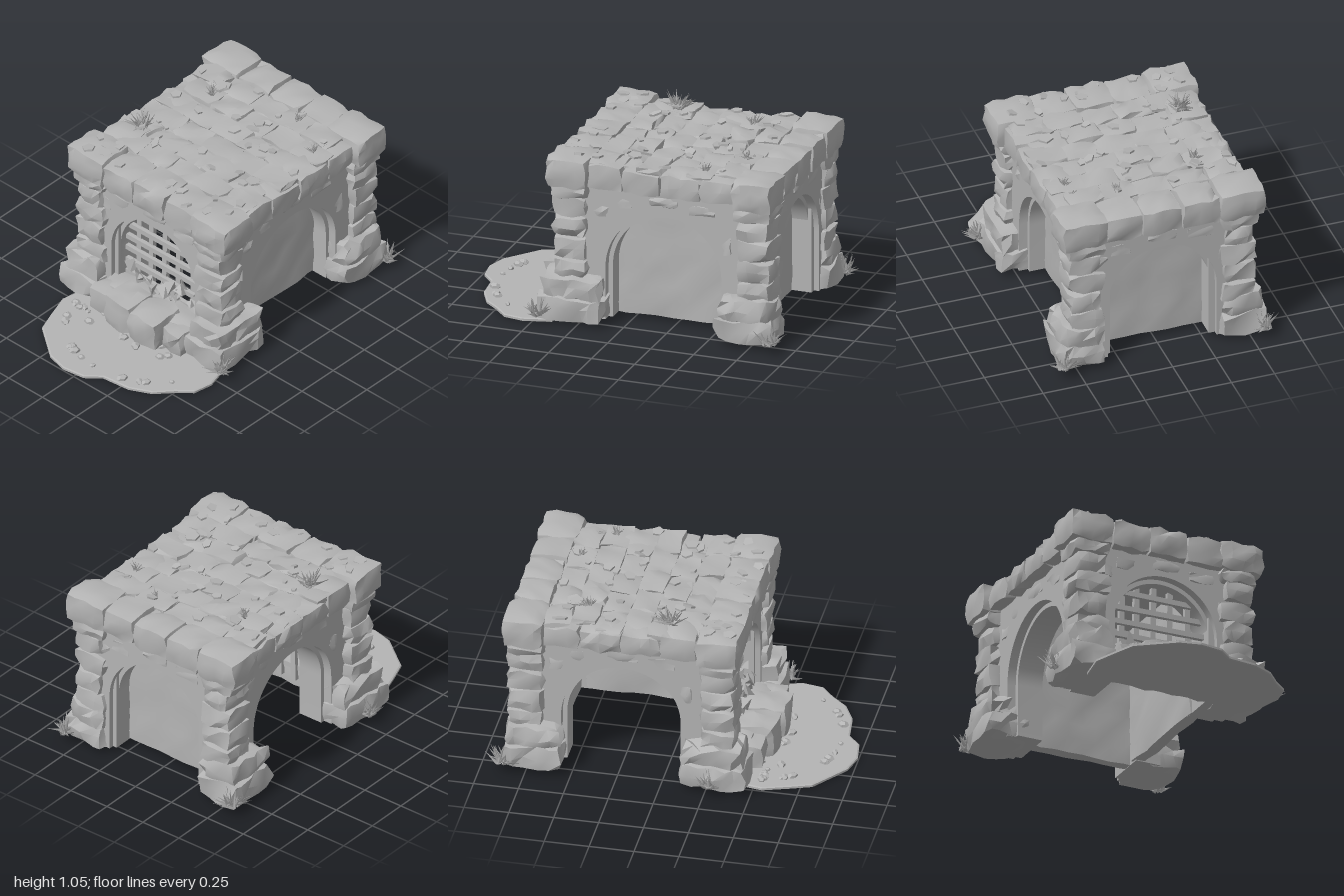
import * as THREE from 'three';
import { toCreasedNormals, mergeGeometries } from 'three/addons/utils/BufferGeometryUtils.js';

const stone = new THREE.MeshStandardMaterial({ color: 0xb4b4b4, side: THREE.DoubleSide });
stone.name = 'stone grey';

let seed = 7;
const rnd = () => ((seed = (seed * 16807) % 2147483647) / 2147483647);
const span = (a, b) => a + (b - a) * rnd();
const hash = (x, y, z, k) => {
  const s = Math.sin(Math.round(x * 500) * 12.99 + Math.round(y * 500) * 78.23 + Math.round(z * 500) * 37.72 + k * 9.1) * 43758.5;
  return s - Math.floor(s) - 0.5;
};

// A worn stone block: subdivided box, rounded edges, jittered surface
function rock(x0, x1, y0, y1, z0, z1, rough = 0.018, round = 0.03) {
  const size = [x1 - x0, y1 - y0, z1 - z0];
  const seg = size.map((s) => Math.max(2, Math.min(8, Math.round(s / 0.065))));
  const g = new THREE.BoxGeometry(...size, ...seg);
  const p = g.attributes.position;
  const half = size.map((s) => s / 2), r = Math.min(round, ...half);
  const k = Math.floor(rnd() * 100);
  for (let i = 0; i < p.count; i++) {
    const v = new THREE.Vector3().fromBufferAttribute(p, i);
    const a = hash(v.x, v.y, v.z, k), b = hash(v.x, v.y, v.z, k + 1), c = hash(v.x, v.y, v.z, k + 2);
    const core = new THREE.Vector3(...v.toArray().map((n, j) => THREE.MathUtils.clamp(n, r - half[j], half[j] - r)));
    v.sub(core).normalize().multiplyScalar(r).add(core);
    p.setXYZ(i, v.x + a * rough, v.y + b * rough, v.z + c * rough);
  }
  g.deleteAttribute('uv');
  g.translate((x0 + x1) / 2, (y0 + y1) / 2, (z0 + z1) / 2);
  return toCreasedNormals(g, 0.65);
}

// Wall slab with an arched doorway, extruded towards +z
function archWall(half, top, r, spring, depth) {
  const s = new THREE.Shape();
  s.moveTo(-half, 0.03).lineTo(-r, 0.03).lineTo(-r, spring);
  s.absarc(0, spring, r, Math.PI, 0, true);
  s.lineTo(r, 0.03).lineTo(half, 0.03).lineTo(half, top).lineTo(-half, top);
  return toCreasedNormals(new THREE.ExtrudeGeometry(s, { depth, bevelEnabled: false, curveSegments: 20 }), 0.6);
}

// Tuft of thin blades fanning out from one point
function tuft(x, y, z, size, count, lean = 1.3) {
  const blades = [];
  for (let i = 0; i < count; i++) {
    const h = size * span(0.55, 1);
    const g = new THREE.ConeGeometry(size * 0.09, h, 3).translate(0, h / 2, 0);
    g.rotateZ(span(0.15, lean)).rotateY(rnd() * Math.PI * 2);
    blades.push(g.translate(x + span(-0.2, 0.2) * size, y, z + span(-0.2, 0.2) * size));
  }
  return mergeGeometries(blades);
}

export function createModel() {
  const model = new THREE.Group();
  model.name = 'ruinedGatehouse';
  const add = (name, g) => {
    const m = new THREE.Mesh(g, stone);
    m.name = name;
    model.add(m);
    return m;
  };
  const addBox = (name, x0, x1, y0, y1, z0, z1) =>
    add(name, new THREE.BoxGeometry(x1 - x0, y1 - y0, z1 - z0).translate((x0 + x1) / 2, (y0 + y1) / 2, (z0 + z1) / 2));

  // Four arched walls: a wide outer rim over a narrower inner arch
  const sides = [
    { name: 'frontWall', half: 0.47, r: 0.29, spring: 0.375, turn: 0, x: 0.01, z: 0.37 },
    { name: 'backWall', half: 0.47, r: 0.29, spring: 0.375, turn: Math.PI, x: 0, z: -0.83, filled: true },
    { name: 'leftWall', half: 0.59, r: 0.315, spring: 0.335, turn: Math.PI / 2, x: 0.49, z: -0.23, filled: true },
    { name: 'rightWall', half: 0.59, r: 0.315, spring: 0.335, turn: -Math.PI / 2, x: -0.48, z: -0.23 },
  ];
  for (const s of sides) {
    const wall = new THREE.Group();
    wall.name = s.name;
    const rim = new THREE.Mesh(archWall(s.half, 0.86, s.r + 0.025, s.spring, 0.05).translate(0, 0, -0.05), stone);
    const inner = new THREE.Mesh(archWall(s.half - 0.02, 0.86, s.r, s.spring, 0.15).translate(0, 0, -0.2), stone);
    rim.name = 'archRim';
    inner.name = 'innerArch';
    wall.add(rim, inner);
    if (s.filled) {
      const panel = new THREE.Mesh(rock(-s.r - 0.05, s.r + 0.05, 0.03, 0.75, -0.21, -0.14, 0.014, 0.01), stone);
      panel.name = 'archPanel';
      wall.add(panel);
    }
    // facing stones beside and above the arch
    for (const [x, y, w, h] of [[-0.36, 0.66, 0.1, 0.08], [0.36, 0.55, 0.07, 0.12], [-0.24, 0.72, 0.12, 0.07], [0.22, 0.73, 0.16, 0.07], [0, 0.755, 0.18, 0.07]]) {
      const chip = new THREE.Mesh(rock(x - w / 2, x + w / 2, y - h / 2, y + h / 2, -0.03, 0.008, 0.014, 0.02), stone);
      chip.name = 'facingStone';
      wall.add(chip);
    }
    wall.rotation.y = s.turn;
    wall.position.set(s.x, 0, s.z);
    model.add(wall);
  }

  // Corner piers: broad base stones, stacked shaft, flared neck and cap
  for (const sx of [-1, 1]) for (const front of [true, false]) {
    const place = (name, xi, xo, y0, y1, zi, zo, rough) =>
      add(name, rock(Math.min(sx * xi, sx * xo), Math.max(sx * xi, sx * xo), y0, y1, Math.min(zi, zo), Math.max(zi, zo), rough, 0.035));
    const z = (f, b) => (front ? f : b);
    place('pierBase', 0.33, 0.6, 0.025, 0.17, z(0.1, -0.55), z(0.48, -0.885), 0.03);
    place('pierBase', 0.34, 0.58, 0.14, 0.28, z(0.11, -0.56), z(0.46, -0.875), 0.035);
    [[0.25, 0.37], [0.36, 0.5], [0.49, 0.62], [0.61, 0.74]].forEach(([y0, y1], i) =>
      place('pierShaft', i % 2 ? 0.35 : 0.33, span(0.53, 0.55), y0, y1, z(0.21, -0.66), z(0.41, -0.865), 0.025));
    place('pierNeck', 0.33, 0.56, 0.72, 0.82, z(0.2, -0.65), z(0.42, -0.87), 0.02);
    place('cornerCap', 0.32, 0.592, 0.79, 0.968, z(0.19, -0.645), z(0.435, -0.885), 0.016);
  }

  // Cornice blocks between the caps
  for (const [z0, z1] of [[0.2, 0.425], [-0.875, -0.66]])
    [[-0.33, -0.1], [-0.11, 0.13], [0.12, 0.34]].forEach(([x0, x1]) =>
      add('cornice', rock(x0, x1, 0.79, span(0.945, 0.965), z0, z1)));
  for (const [x0, x1] of [[-0.555, -0.34], [0.34, 0.555]])
    [[-0.66, -0.45], [-0.46, -0.22], [-0.23, 0], [-0.01, 0.2]].forEach(([z0, z1]) =>
      add('cornice', rock(x0, x1, 0.8, span(0.93, 0.955), z0, z1)));

  // Roof deck and its uneven paving
  addBox('roofDeck', -0.48, 0.48, 0.84, 0.92, -0.8, 0.36);
  for (let i = 0; i < 5; i++) for (let j = 0; j < 6; j++) {
    const x = -0.4 + i * 0.2 + (j % 2 ? 0.03 : -0.03), z = -0.59 + j * 0.145, t = span(0.935, 0.958);
    add('roofPaving', rock(x - 0.105, x + 0.105, 0.9, t, z - 0.075, z + 0.075, 0.022, 0.015));
  }

  // Thin broken slabs lying on the roof
  for (let i = 0; i < 46; i++) {
    const g = new THREE.CylinderGeometry(1, 1, 0.012, 5).toNonIndexed();
    g.scale(span(0.015, 0.045), 1, span(0.015, 0.04));
    g.rotateX(span(-0.3, 0.3)).rotateY(rnd() * 6).rotateZ(span(-0.25, 0.25));
    g.translate(span(-0.5, 0.5), span(0.955, 0.972), i < 32 ? span(-0.65, 0.2) : span(0.22, 0.4));
    g.computeVertexNormals();
    add('roofShard', g);
  }

  // Crossed bars of the gate
  const gate = new THREE.Group();
  gate.name = 'gate';
  const bar = (x, y, w, h, z, tilt) => {
    const m = new THREE.Mesh(new THREE.BoxGeometry(w, h, 0.025), stone);
    m.name = 'gateBar';
    m.position.set(x, y, z);
    m.rotation.z = tilt;
    gate.add(m);
  };
  const reach = (d) => Math.sqrt(0.3 * 0.3 - d * d);
  for (const x of [-0.2, -0.11, -0.01, 0.09, 0.2]) {
    const top = 0.375 + reach(x - 0.01);
    bar(x, (top + 0.1) / 2, 0.032, top - 0.1, 0.25, span(-0.03, 0.03));
  }
  for (const y of [0.17, 0.255, 0.34, 0.42, 0.505, 0.595])
    bar(0.01, y, 2 * reach(Math.max(0, y - 0.375)), 0.03, 0.27, span(-0.03, 0.03));
  model.add(gate);

  // Rubble heaped against the gate
  for (let i = 0; i < 26; i++) {
    const g = new THREE.TetrahedronGeometry(span(0.025, 0.055));
    g.scale(1, 1.3, 0.6).rotateY(rnd() * 6).rotateZ(rnd() * 6);
    const x = span(-0.25, 0.27);
    g.translate(x, 0.2 + rnd() * (0.04 + Math.abs(x) * 0.6), span(0.29, 0.36));
    add('gateRubble', g);
  }

  // Threshold blocks in front of the gate
  add('threshold', rock(-0.32, 0.34, 0.025, 0.18, 0.28, 0.46, 0.02));
  [[-0.34, -0.18, 0.175, 0.53], [-0.2, 0.01, 0.215, 0.565], [0, 0.21, 0.215, 0.585], [0.2, 0.345, 0.18, 0.53]].forEach(([x0, x1, y, z]) => {
    add('stepBlock', rock(x0, x1, 0.015, y, 0.34, z, 0.022, 0.04));
  });

  // Flat rounded ground slab
  const outline = [[-0.46, 0.38], [-0.49, 0.55], [-0.44, 0.7], [-0.4, 0.81], [-0.28, 0.9], [-0.2, 0.96], [-0.08, 0.99], [0.05, 0.97],
    [0.13, 0.9], [0.3, 0.88], [0.42, 0.82], [0.5, 0.73], [0.58, 0.66], [0.6, 0.55], [0.56, 0.4], [0.3, 0.36], [-0.3, 0.36]];
  const slab = new THREE.Shape(outline.map(([x, z]) => new THREE.Vector2(x, -z)));
  slab.closePath();
  add('groundSlab', new THREE.ExtrudeGeometry(slab, { depth: 0.012, bevelThickness: 0.004, bevelSize: 0.008, bevelSegments: 1 })
    .rotateX(-Math.PI / 2).translate(0, 0.004, 0));

  // Loose pebbles along the slab and at the foot of the steps
  for (let i = 0; i < 30; i++) {
    const edge = i < 14, a = span(0.2, Math.PI - 0.2);
    const x = edge ? 0.05 + Math.cos(a) * 0.46 : span(-0.42, 0.5);
    const z = edge ? 0.5 + Math.sin(a) * 0.38 : span(0.5, 0.61);
    add('pebble', new THREE.DodecahedronGeometry(span(0.012, 0.026)).scale(1.3, 0.8, 1).rotateY(rnd() * 6).translate(x, 0.025, z));
  }

  // Grass tufts at the feet and on the roof
  const tufts = [[-0.6, 0.06, 0.28, 0.12, 34], [0.6, 0.05, 0.47, 0.12, 40], [-0.58, 0.05, -0.88, 0.12, 34], [0.59, 0.05, -0.88, 0.12, 34],
    [-0.4, 0.955, 0.02, 0.11, 44], [-0.32, 0.955, -0.45, 0.07, 20], [0.43, 0.955, -0.45, 0.06, 16], [0.18, 0.955, -0.6, 0.06, 14]];
  for (const [x, y, z, size, n] of tufts) add('grassTuft', tuft(x, y, z, size, n));

  return model;
}
